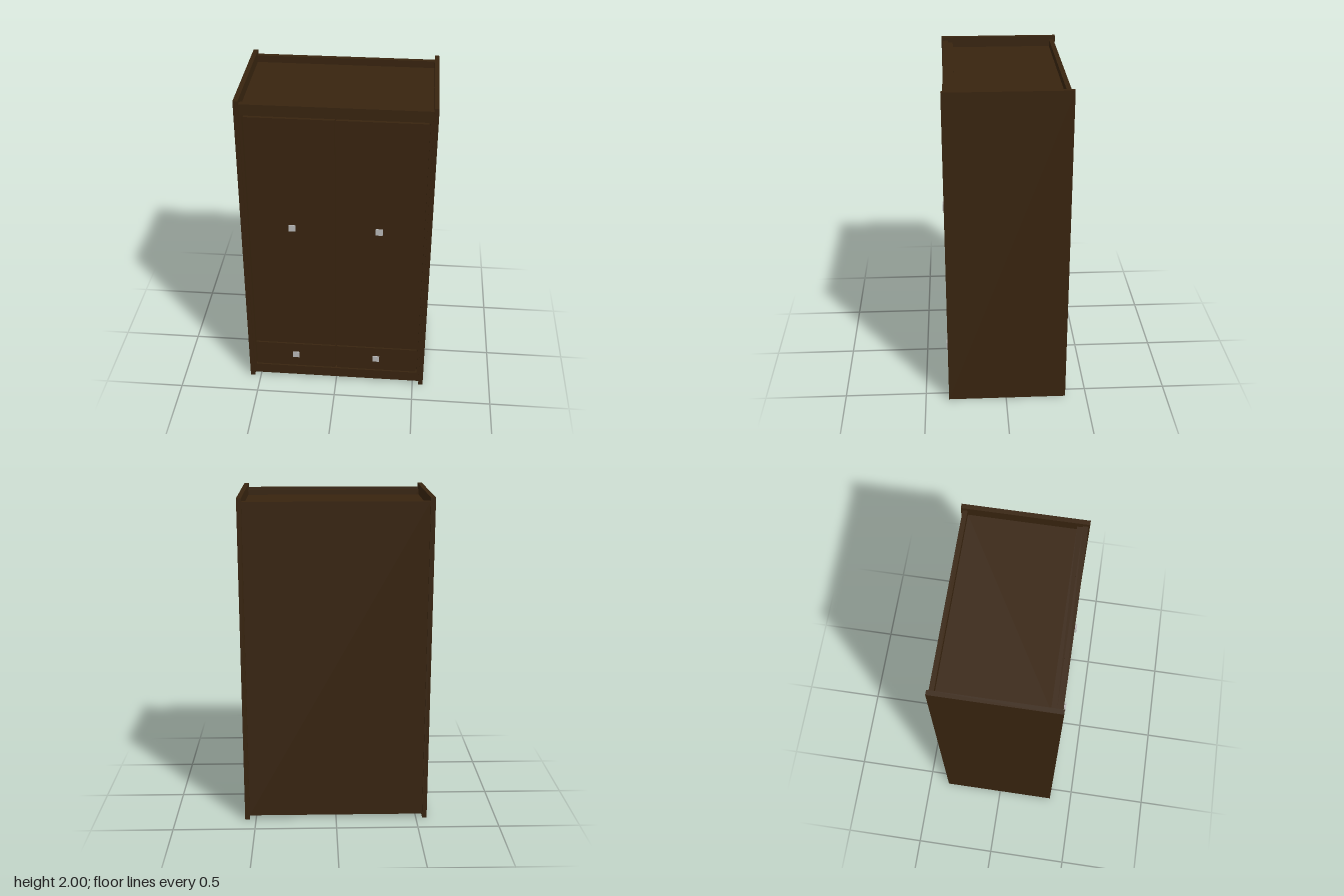
import * as THREE from 'three';

const wood = new THREE.MeshStandardMaterial({ color: 0x38240f });
wood.name = 'dark wood';
const metal = new THREE.MeshStandardMaterial({ color: 0xb8b8b8 });
metal.name = 'brushed metal';

// Box given by its minimum and maximum along each axis
function board(parent, name, [x0, x1], [y0, y1], [z0, z1], material = wood) {
  const mesh = new THREE.Mesh(new THREE.BoxGeometry(x1 - x0, y1 - y0, z1 - z0), material);
  mesh.position.set((x0 + x1) / 2, (y0 + y1) / 2, (z0 + z1) / 2);
  mesh.name = name;
  parent.add(mesh);
}

// Square knob: thin plate on a short stem
function knob(parent, x, y) {
  const group = new THREE.Group();
  group.name = 'knob';
  board(group, 'knobStem', [x - 0.009, x + 0.009], [y - 0.009, y + 0.009], [0.348, 0.363], metal);
  board(group, 'knobPlate', [x - 0.021, x + 0.021], [y - 0.021, y + 0.021], [0.362, 0.368], metal);
  parent.add(group);
}

export function createModel() {
  const wardrobe = new THREE.Group();
  wardrobe.name = 'wardrobe';
  const inner = 0.54;
  const span = [-inner, inner];

  // Carcass between the side panels
  board(wardrobe, 'backPanel', span, [0.022, 1.978], [-0.36, -0.332]);
  board(wardrobe, 'topPanel', span, [1.905, 1.935], [-0.332, 0.287]);
  board(wardrobe, 'basePanel', span, [0.06, 0.09], [-0.332, 0.287]);
  board(wardrobe, 'frontBacking', span, [0.03, 1.965], [0.285, 0.316]);

  // Front frame rails
  board(wardrobe, 'topRail', span, [1.91, 1.978], [0.316, 0.347]);
  board(wardrobe, 'bottomRail', span, [0.022, 0.092], [0.316, 0.347]);

  for (const s of [-1, 1]) {
    const across = (a, b) => (s > 0 ? [a, b] : [-b, -a]);
    board(wardrobe, 'sidePanel', across(inner, 0.568), [0, 2], [-0.37, 0.356]);
    board(wardrobe, 'frontStile', across(0.525, inner), [0.092, 1.91], [0.316, 0.347]);

    // Tall door above a drawer, with narrow gaps all round
    board(wardrobe, 'door', across(0.004, 0.518), [0.291, 1.902], [0.318, 0.35]);
    board(wardrobe, 'drawerFront', across(0.004, 0.518), [0.104, 0.282], [0.318, 0.35]);
    knob(wardrobe, s * 0.259, 1.186);
    knob(wardrobe, s * 0.259, 0.206);
  }
  return wardrobe;
}
